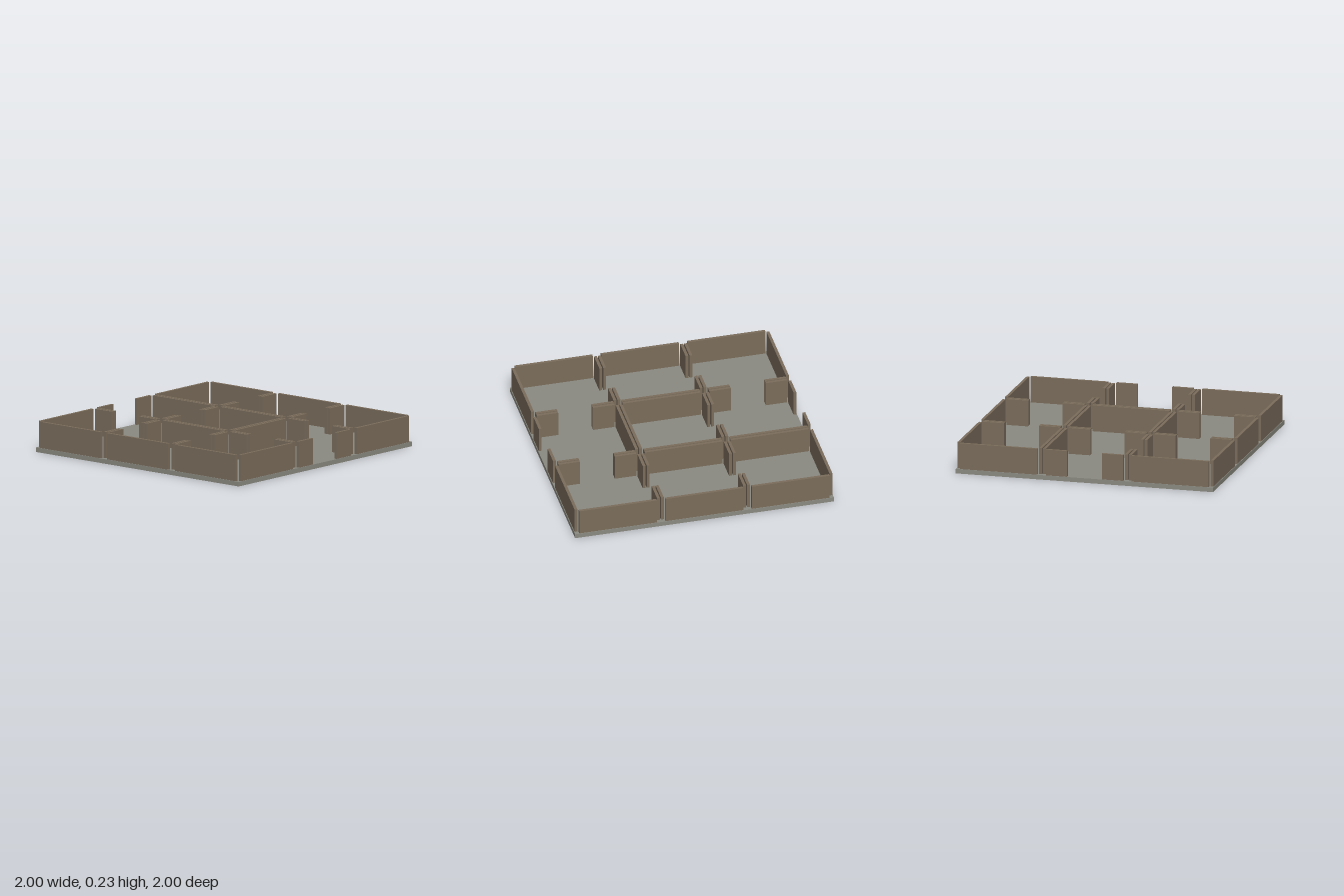
import * as THREE from 'three';

const ROOM = 2 / 3;      // pitch of the 3 x 3 room grid
const FLOOR = 0.035;     // slab thickness
const HEIGHT = 0.2;      // wall height
const THICK = 0.022;     // wall thickness
const OFFSET = 0.318;    // wall centre line from room centre
const HALF = 0.3;        // half length of a wall
const DOOR = 0.135;      // half width of a doorway

// Sides with a doorway for every room, rows from back to front
const DOORS = [
  ['ES', 'NWS', 'S'],
  ['NS', 'N', 'NS'],
  ['NE', 'SWE', 'NW'],
];

// Rotation that carries the back wall of a room to each side
const SIDES = { N: 0, W: Math.PI / 2, S: Math.PI, E: -Math.PI / 2 };

export function createModel() {
  const model = new THREE.Group();
  model.name = 'floorPlan';

  const stone = new THREE.MeshStandardMaterial({ color: 0x8c8b82 });
  stone.name = 'grey stone';
  const brick = new THREE.MeshStandardMaterial({ color: 0x7b6d5c });
  brick.name = 'brown wall';

  // Base slab
  const floor = new THREE.Mesh(new THREE.BoxGeometry(2, FLOOR, 2), stone);
  floor.name = 'floor';
  floor.position.y = FLOOR / 2;
  model.add(floor);

  const fullWall = new THREE.BoxGeometry(2 * HALF, HEIGHT, THICK);
  const stubWall = new THREE.BoxGeometry(HALF - DOOR, HEIGHT, THICK);

  const addWall = (parent, geometry, x, name) => {
    const wall = new THREE.Mesh(geometry, brick);
    wall.name = name;
    wall.position.set(x, FLOOR + HEIGHT / 2, -OFFSET);
    parent.add(wall);
  };

  // Each room has its own four walls, solid or split by a doorway
  DOORS.forEach((row, j) => row.forEach((doors, i) => {
    const room = new THREE.Group();
    room.name = `room${j + 1}${i + 1}`;
    room.position.set((i - 1) * ROOM, 0, (j - 1) * ROOM);
    for (const [side, angle] of Object.entries(SIDES)) {
      const edge = new THREE.Group();
      edge.name = `wallSide${side}`;
      edge.rotation.y = angle;
      if (doors.includes(side)) {
        for (const s of [-1, 1]) addWall(edge, stubWall, s * (HALF + DOOR) / 2, 'doorwayWall');
      } else {
        addWall(edge, fullWall, 0, 'solidWall');
      }
      room.add(edge);
    }
    model.add(room);
  }));

  return model;
}
